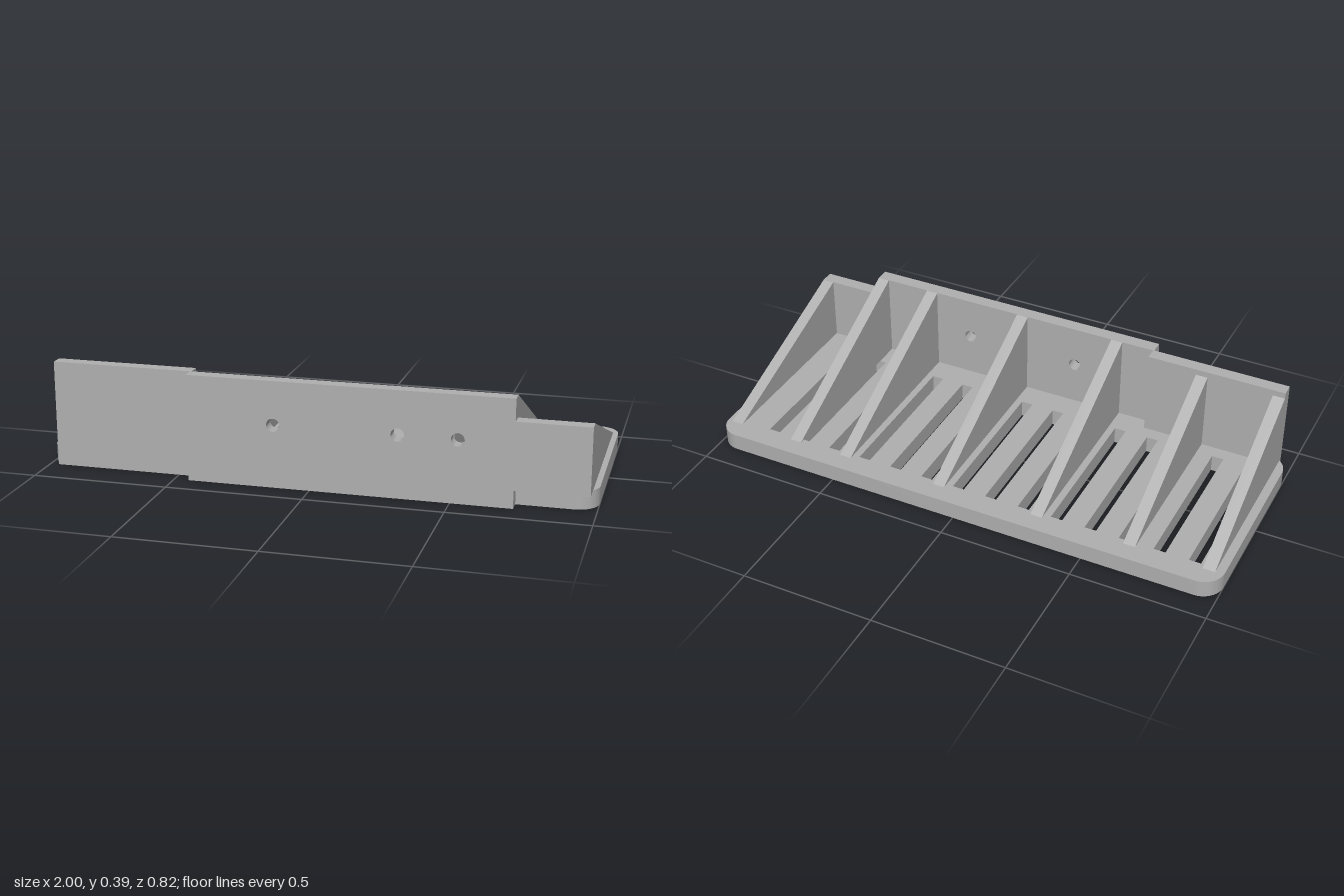
import * as THREE from 'three';
import { toCreasedNormals } from 'three/addons/utils/BufferGeometryUtils.js';

export function createModel() {
  const group = new THREE.Group();
  const grey = new THREE.MeshStandardMaterial({ color: 0xb0b0b0 });
  grey.name = 'grey plastic';

  const BASE = 0.065, TOP = 0.39, LOW = 0.31, BACK = -0.41, FRONT = 0.36, WALL_FRONT = 0.408;

  const add = (name, geometry) => {
    const mesh = new THREE.Mesh(geometry, grey);
    mesh.name = name;
    group.add(mesh);
    return mesh;
  };
  const extrude = (shape, depth) => toCreasedNormals(
    new THREE.ExtrudeGeometry(shape, { depth, bevelEnabled: false, curveSegments: 12 }), 0.6);
  const polygon = (points) => new THREE.Shape(points.map(([x, y]) => new THREE.Vector2(x, y)));

  // Base plate with rounded corners and a row of slots (shape y is -z)
  const r = 0.08, y0 = -FRONT, y1 = -BACK;
  const plate = new THREE.Shape();
  plate.absarc(1 - r, y0 + r, r, -Math.PI / 2, 0);
  plate.absarc(1 - r, y1 - r, r, 0, Math.PI / 2);
  plate.absarc(-1 + r, y1 - r, r, Math.PI / 2, Math.PI);
  plate.absarc(-1 + r, y0 + r, r, Math.PI, Math.PI * 1.5);
  plate.closePath();
  for (let i = 0; i < 14; i++) {
    const x = -0.888 + i * 0.13, h = 0.022;
    plate.holes.push(new THREE.Path([
      new THREE.Vector2(x - h, -0.26), new THREE.Vector2(x - h, 0.32),
      new THREE.Vector2(x + h, 0.32), new THREE.Vector2(x + h, -0.26),
    ]));
  }
  add('basePlate', extrude(plate, BASE).rotateX(-Math.PI / 2));

  // Front wall: stepped outline, raised lower edge on one end, three screw holes
  const wall = polygon([
    [-0.447, 0], [0.72, 0], [0.72, BASE], [0.98, BASE], [0.98, LOW], [0.72, LOW], [0.72, TOP], [-0.447, TOP],
  ]);
  for (const x of [-0.13, 0.315, 0.525]) {
    const hole = new THREE.Path();
    hole.absarc(x, 0.23, 0.024, 0, Math.PI * 2, true);
    wall.holes.push(hole);
  }
  add('frontWall', extrude(wall, WALL_FRONT - FRONT + 0.002)).position.z = FRONT - 0.002;

  // Set-back wall on the other end
  add('setBackWall', new THREE.BoxGeometry(0.525, TOP, 0.048)
    .translate(-0.7055, TOP / 2, 0.336));

  // Triangular ribs: left edge, width, height at the wall, end depth
  const ribs = [
    [-0.968, TOP, 0.33], [-0.675, TOP, 0.33], [-0.32, TOP, FRONT], [0.07, TOP, FRONT],
    [0.46, TOP, FRONT], [0.675, TOP, FRONT], [0.935, LOW, FRONT],
  ];
  const toe = -0.34, width = 0.045;
  for (const [x, height, end] of ribs) {
    const y = BASE + (height - BASE) * (end - toe) / (FRONT - toe);
    const shape = polygon([[toe, BASE], [end, BASE], [end, y]]);
    add('rib', extrude(shape, width).rotateY(-Math.PI / 2)).position.x = x + width;
  }

  return group;
}
